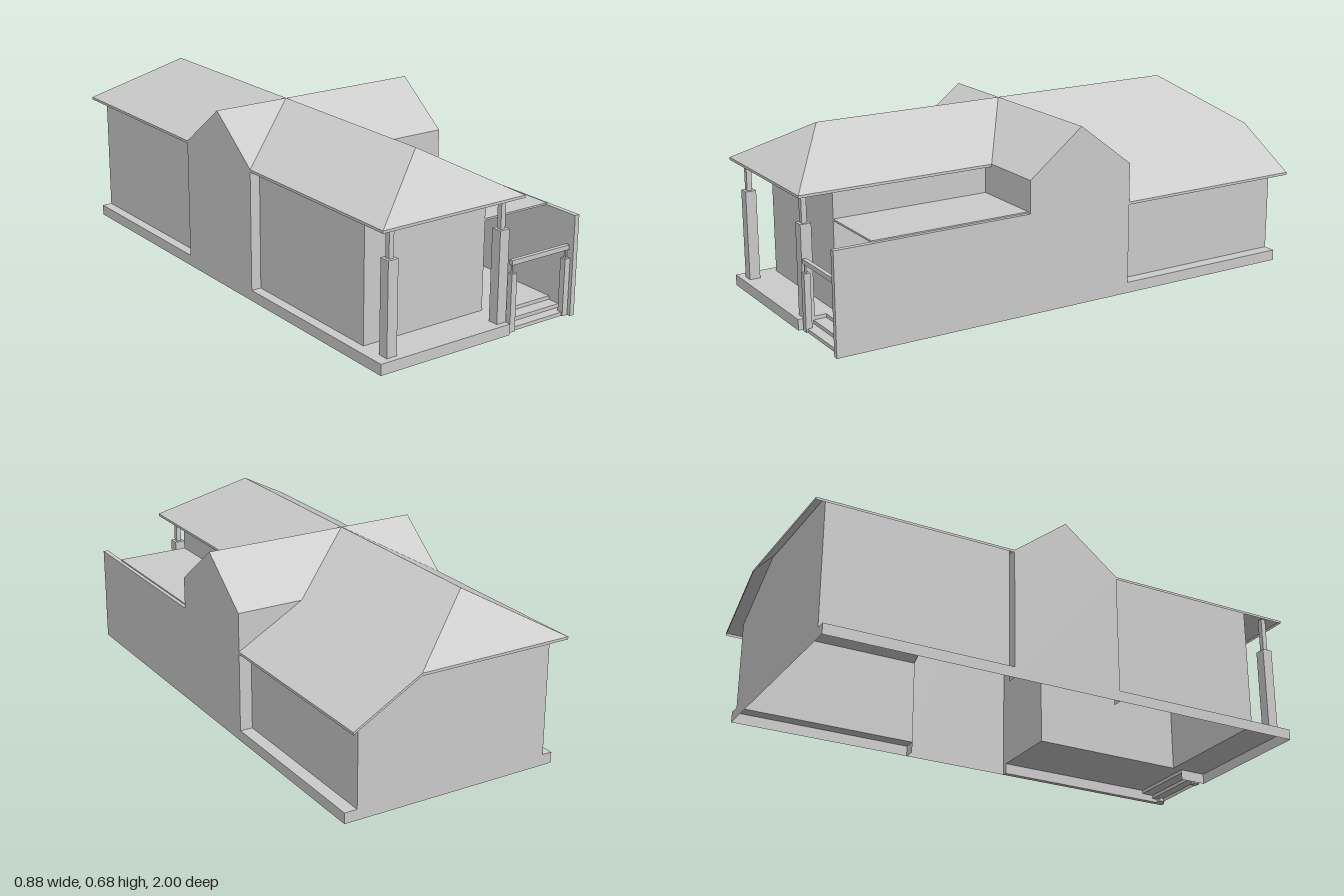
import * as THREE from 'three';

const material = new THREE.MeshStandardMaterial({ color: 0xcccccc, side: THREE.DoubleSide, flatShading: true });

// Main levels and lines of the house
const RIDGE = 0.68, EAVE = 0.51, LOW = 0.36, FLOOR = 0.042;
const MID = -0.133, L = -0.44, R = 0.44, E = 0.175; // ridge line, left, right, right eave
const WL = -0.4, WR = 0.13, WB = 0.39;              // left, right and rear right walls
const FRONT = 0.85, BACK = -0.95, G = 0.22, HIP = 0.78;

export function createModel() {
  const model = new THREE.Group();

  const add = (parent, name, geometry) => {
    const mesh = new THREE.Mesh(geometry, material);
    mesh.name = name;
    parent.add(mesh);
    return mesh;
  };
  const group = (name) => {
    const g = new THREE.Group();
    g.name = name;
    model.add(g);
    return g;
  };
  // Flat polygon, fanned from its first corner
  const poly = (parent, name, pts) => {
    const pos = [];
    for (let i = 1; i < pts.length - 1; i++) pos.push(...pts[0], ...pts[i], ...pts[i + 1]);
    const geometry = new THREE.BufferGeometry();
    geometry.setAttribute('position', new THREE.Float32BufferAttribute(pos, 3));
    geometry.computeVertexNormals();
    return add(parent, name, geometry);
  };
  // Box from its low and high limits
  const box = (parent, name, x0, x1, y0, y1, z0, z1) => {
    const mesh = add(parent, name, new THREE.BoxGeometry(x1 - x0, y1 - y0, z1 - z0));
    mesh.position.set((x0 + x1) / 2, (y0 + y1) / 2, (z0 + z1) / 2);
  };
  // Horizontal panel and upright panels along x or z
  const deck = (parent, name, x0, x1, z0, z1, y) =>
    poly(parent, name, [[x0, y, z0], [x0, y, z1], [x1, y, z1], [x1, y, z0]]);
  const wallAlongZ = (parent, name, x, z0, z1, y0, y1) =>
    poly(parent, name, [[x, y0, z0], [x, y1, z0], [x, y1, z1], [x, y0, z1]]);
  const wallAlongX = (parent, name, z, corners) =>
    poly(parent, name, corners.map(([x, y]) => [x, y, z]));

  // Roof: hipped main ridge crossed by a gable
  const roof = group('roof');
  const peak = [MID, RIDGE, 0];
  for (const s of [1, -1]) {
    poly(roof, 'leftSlope', [peak, [L, EAVE, s * G], [L, EAVE, s], [MID, RIDGE, s * HIP]]);
    poly(roof, 'hipEnd', [[MID, RIDGE, s * HIP], [L, EAVE, s], [E, EAVE, s]]);
    poly(roof, 'leftGableSlope', [peak, [L, RIDGE, 0], [L, EAVE, s * G]]);
    poly(roof, 'rightGableSlope', [peak, [E, EAVE, s * G], [R, EAVE, s * G], [R, RIDGE, 0]]);
    wallAlongZ(roof, 'leftFascia', L, s * G, s, EAVE - 0.01, EAVE);
    wallAlongX(roof, 'endFascia', s, [[L, EAVE - 0.01], [E, EAVE - 0.01], [E, EAVE], [L, EAVE]]);
  }
  poly(roof, 'rightFrontSlope', [peak, [E, EAVE, G], [E, EAVE, 1], [MID, RIDGE, HIP]]);
  poly(roof, 'rightRearSlope', [[E, EAVE, -G], [R, LOW, -G], [R, LOW, -1], [E, EAVE, -1], [MID, RIDGE, -HIP], peak]);
  wallAlongZ(roof, 'rightFrontFascia', E, G, 1, EAVE - 0.01, EAVE);
  wallAlongZ(roof, 'rightRearFascia', R, -G, -1, LOW - 0.01, LOW);
  wallAlongX(roof, 'rakeFascia', -1, [[E, EAVE], [R, LOW], [R, LOW - 0.01], [E, EAVE - 0.01]]);

  // House walls
  const walls = group('walls');
  wallAlongX(walls, 'frontWall', FRONT,
    [[WL, FLOOR], [WR, FLOOR], [WR, 0.53], [-0.035, 0.62], [-0.23, 0.62], [WL, 0.53]]);
  wallAlongX(walls, 'backWall', BACK,
    [[WL, 0], [WB, 0], [WB, 0.385], [0.105, 0.545], [-0.37, 0.545], [WL, 0.53]]);
  wallAlongZ(walls, 'leftFrontWall', WL, G, FRONT, FLOOR, 0.53);
  wallAlongZ(walls, 'leftRearWall', WL, BACK, -G, FLOOR, 0.53);
  wallAlongZ(walls, 'rightFrontWall', WR, G, FRONT, FLOOR, 0.53);
  wallAlongZ(walls, 'rightRearWall', WB, BACK, -G, FLOOR, 0.385);

  // Cross gable walls and their returns
  for (const x of [L, R]) {
    poly(walls, 'gableWall', [[x, 0, -G], [x, EAVE, -G], [x, RIDGE, 0], [x, EAVE, G], [x, 0, G]]);
  }
  for (const z of [G, -G]) wallAlongX(walls, 'leftReturn', z, [[L, 0], [WL, 0], [WL, EAVE], [L, EAVE]]);
  wallAlongX(walls, 'rightFrontReturn', G, [[WR, FLOOR], [R, FLOOR], [R, EAVE], [WR, EAVE]]);
  wallAlongX(walls, 'rightRearReturn', -G, [[R, EAVE], [E, EAVE], [WB, 0.385], [WB, 0], [R, 0]]);

  // Side passage: boundary wall and flat cover
  const passage = group('sidePassage');
  box(passage, 'boundaryWall', 0.42, R, 0, 0.385, G, 1);
  box(passage, 'flatCover', WR, 0.425, 0.383, 0.39, G, FRONT);
  deck(passage, 'passageFloor', WR, 0.42, G, 0.89, FLOOR);

  // Raised base, open underneath
  const base = group('base');
  deck(base, 'porchFloor', L, WR, FRONT, 1, FLOOR);
  deck(base, 'leftFrontLedge', L, WL, G, FRONT, FLOOR);
  deck(base, 'leftRearLedge', L, WL, BACK, -G, FLOOR);
  deck(base, 'rightRearLedge', WB, R, BACK, -G, FLOOR);
  wallAlongZ(base, 'leftFrontEdge', L, G, 1, 0, FLOOR);
  wallAlongZ(base, 'leftRearEdge', L, BACK, -G, 0, FLOOR);
  wallAlongZ(base, 'rightRearEdge', R, BACK, -G, 0, FLOOR);
  wallAlongZ(base, 'porchSideEdge', WR, 0.89, 1, 0, FLOOR);
  wallAlongX(base, 'frontEdge', 1, [[L, 0], [WR, 0], [WR, FLOOR], [L, FLOOR]]);
  for (const [x0, x1] of [[L, WL], [WB, R]]) {
    wallAlongX(base, 'backEdge', BACK, [[x0, 0], [x1, 0], [x1, FLOOR], [x0, FLOOR]]);
  }

  // Entrance steps: riser then tread
  const steps = group('steps');
  const edges = [0.89, 0.94, 0.98];
  edges.forEach((z, i) => {
    const top = FLOOR - i * 0.014, low = top - 0.014;
    wallAlongX(steps, 'riser', z, [[WR, low], [0.42, low], [0.42, top], [WR, top]]);
    if (i < 2) deck(steps, 'tread', WR, 0.42, z, edges[i + 1], low);
  });

  // Porch columns: broad pedestal and slim post
  const porch = group('porchColumns');
  for (const x of [-0.377, 0.109]) {
    box(porch, 'pedestal', x - 0.021, x + 0.021, FLOOR, 0.39, 0.935, 0.977);
    box(porch, 'post', x - 0.01, x + 0.01, 0.39, 0.53, 0.946, 0.966);
  }

  // Entrance gate: two short piers carrying a rail
  const gate = group('gate');
  for (const x of [0.154, 0.408]) {
    box(gate, 'pier', x - 0.012, x + 0.012, 0, 0.22, 0.962, 0.986);
    box(gate, 'pierPost', x - 0.004, x + 0.004, 0.22, 0.252, 0.97, 0.978);
  }
  box(gate, 'rail', 0.146, 0.416, 0.252, 0.27, 0.966, 0.982);

  return model;
}
